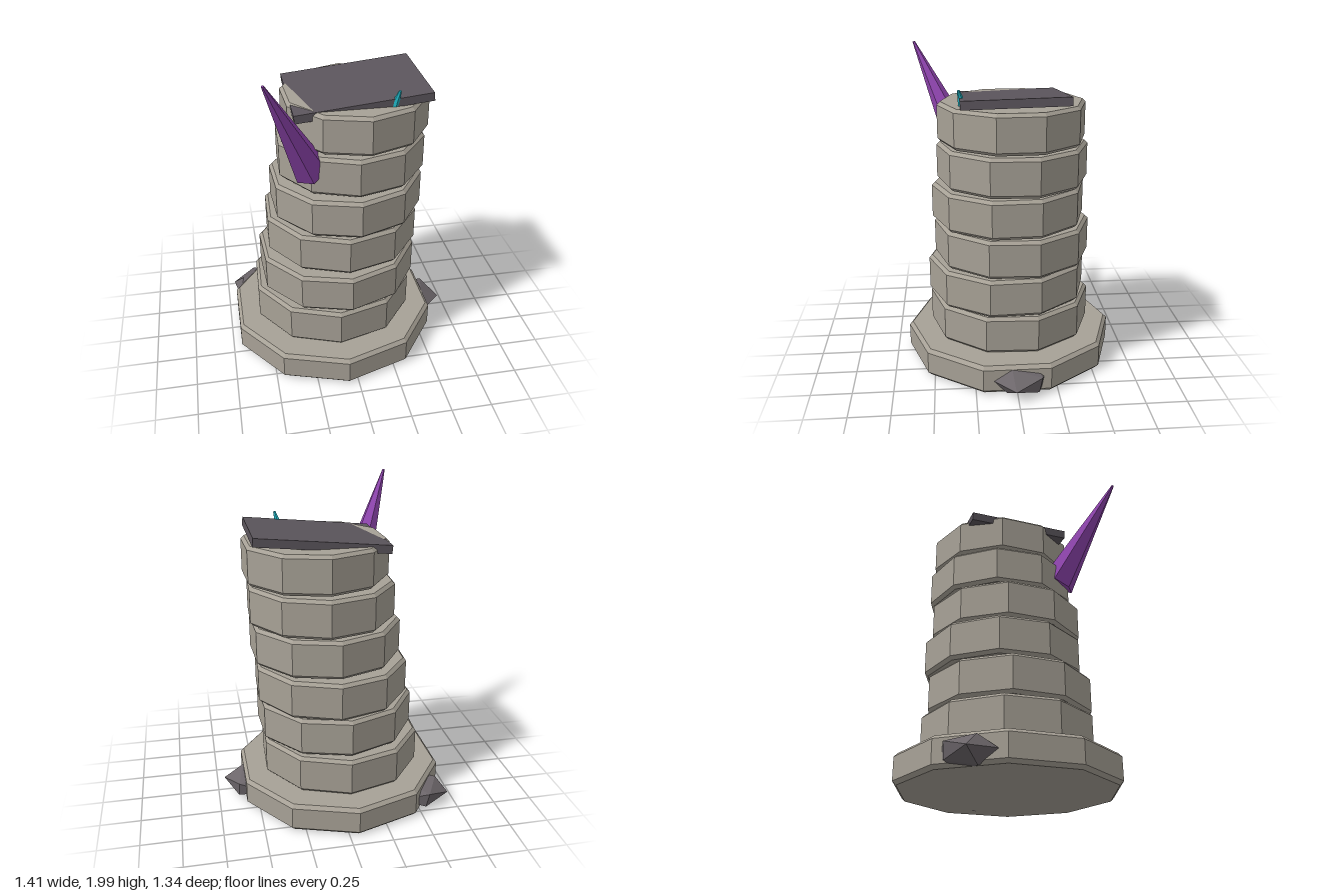
import * as THREE from 'three';

const mat = (color) => new THREE.MeshStandardMaterial({ color, flatShading: true });
const stone = mat(0xa7a196), slate = mat(0x5b555c), rock = mat(0x6c666a);
const purple = mat(0x8e44ad), teal = mat(0x20b4c4);

// ten-sided stone disc with chamfered rims
function disc(name, radius, y0, y1, x, z, turn, bevel) {
  const profile = [
    [0, y0], [radius - bevel, y0], [radius, y0 + bevel],
    [radius, y1 - bevel], [radius - bevel, y1], [0, y1],
  ].map(([r, y]) => new THREE.Vector2(r, y));
  const mesh = new THREE.Mesh(new THREE.LatheGeometry(profile, 10), stone);
  mesh.name = name;
  mesh.position.set(x, 0, z);
  mesh.rotation.y = turn;
  return mesh;
}

// tapered spike running from base to tip
function spike(name, base, tip, radius, tipRadius, sides, material) {
  const a = new THREE.Vector3(...base), b = new THREE.Vector3(...tip);
  const dir = b.clone().sub(a);
  const mesh = new THREE.Mesh(new THREE.CylinderGeometry(tipRadius, radius, dir.length(), sides), material);
  mesh.name = name;
  mesh.position.copy(a).add(b).multiplyScalar(0.5);
  mesh.quaternion.setFromUnitVectors(new THREE.Vector3(0, 1, 0), dir.normalize());
  return mesh;
}

// squashed faceted boulder
function boulder(name, position, size, turn) {
  const geometry = new THREE.IcosahedronGeometry(1, 0);
  geometry.rotateX(0.45).rotateZ(0.3).rotateY(turn);
  geometry.scale(...size);
  const mesh = new THREE.Mesh(geometry, rock);
  mesh.name = name;
  mesh.position.set(...position);
  return mesh;
}

export function createModel() {
  const group = new THREE.Group();
  group.name = 'leaningStoneTower';

  // plinth
  group.add(disc('plinth', 0.67, 0.012, 0.193, -0.06, 0, 0, 0.022));

  // stacked drums, narrowing and leaning to one side
  const offsetsZ = [-0.002, 0.017, -0.012, 0.012, -0.01, -0.005];
  offsetsZ.forEach((z, i) => {
    const y = 0.2 + i * 0.2545;
    const turn = (i % 2 ? 1 : -1) * 0.04;
    group.add(disc('drum' + (i + 1), 0.518 - i * 0.0138, y, y + 0.239, -0.0625 + i * 0.03, z, turn, 0.02));
  });

  // tilted roof slab
  const slab = new THREE.Mesh(new THREE.BoxGeometry(0.805, 0.05, 0.62), slate);
  slab.name = 'roofSlab';
  slab.position.set(0.0875, 1.722, 0);
  slab.rotation.set(0.024, 0, 0.1);
  group.add(slab);

  // large horn and small crystal
  group.add(spike('horn', [-0.226, 1.345, 0.284], [-0.497, 1.998, 0.588], 0.107, 0.008, 6, purple));
  group.add(spike('crystal', [0.178, 1.38, 0.215], [0.284, 1.805, 0.315], 0.085, 0.008, 6, teal));

  // boulders half buried in the plinth
  group.add(boulder('leftBoulder', [0.5, 0.09, -0.02], [0.21, 0.09, 0.19], 0.3));
  group.add(boulder('backBoulder', [-0.52, 0.09, -0.36], [0.2, 0.09, 0.17], 1.2));

  return group;
}
